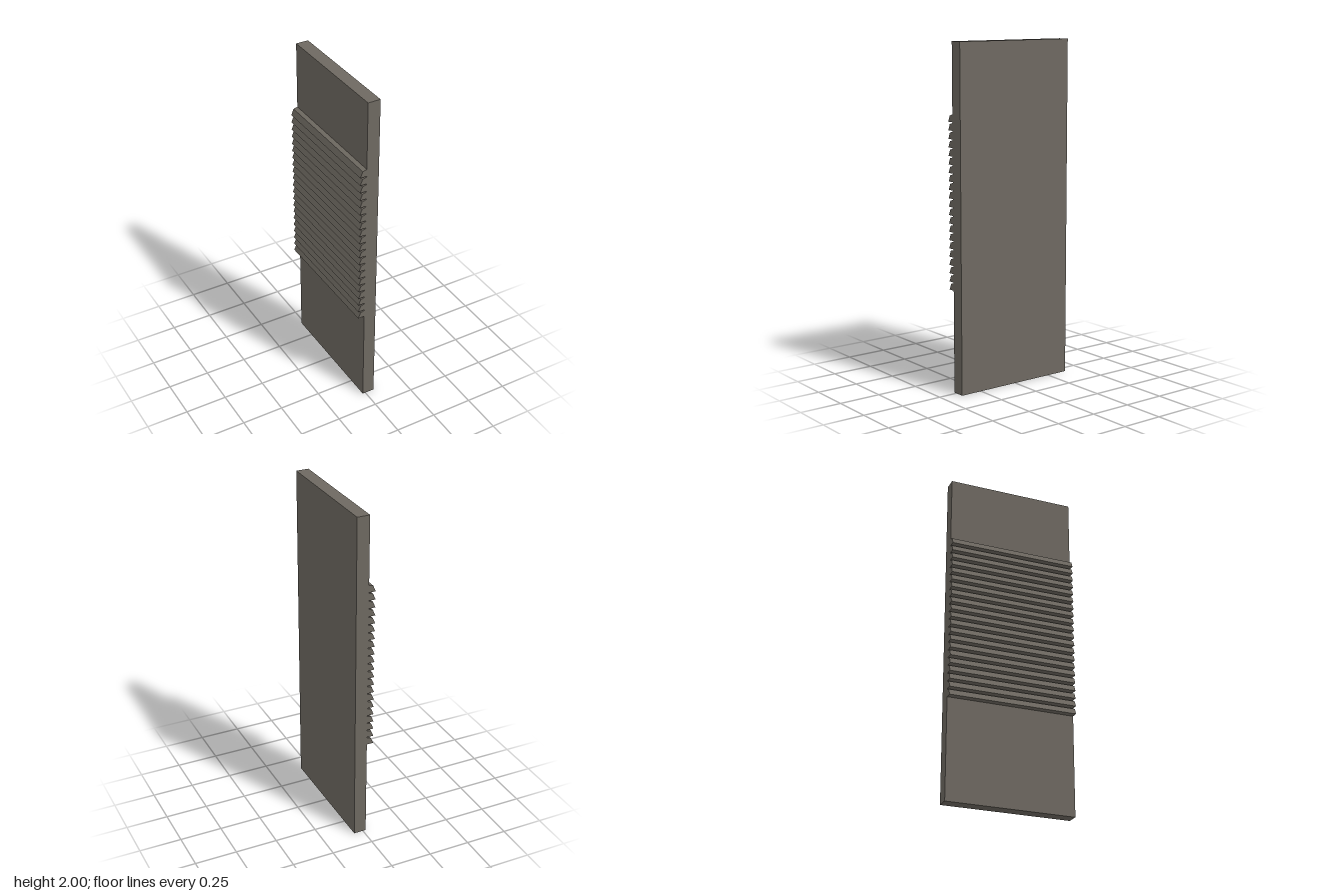
import * as THREE from 'three';

const WIDTH = 0.768; // along z
const SLATS = 21;
const PITCH = 0.0478;

export function createModel() {
  const group = new THREE.Group();
  const paint = new THREE.MeshStandardMaterial({ color: 0x6e6961 });
  paint.name = 'warm grey paint';

  // Upright slab
  const panel = new THREE.Mesh(new THREE.BoxGeometry(0.075, 2, WIDTH), paint);
  panel.name = 'panel';
  panel.position.set(0.0195, 1, 0);
  group.add(panel);

  // Louvre slat: flat underside, sloping outer face, gently pitched top
  const profile = new THREE.Shape([
    new THREE.Vector2(-0.018, 0),
    new THREE.Vector2(-0.018, 0.043),
    new THREE.Vector2(-0.043, 0.036),
    new THREE.Vector2(-0.058, 0),
  ]);
  const slatGeometry = new THREE.ExtrudeGeometry(profile, { depth: WIDTH, bevelEnabled: false });
  slatGeometry.translate(0, 0, -WIDTH / 2);

  // Stack of slats on the panel's right side
  const louvre = new THREE.Group();
  louvre.name = 'louvre';
  for (let i = 0; i < SLATS; i++) {
    const slat = new THREE.Mesh(slatGeometry, paint);
    slat.name = 'slat';
    slat.position.y = 0.6 + i * PITCH;
    louvre.add(slat);
  }
  group.add(louvre);
  return group;
}
